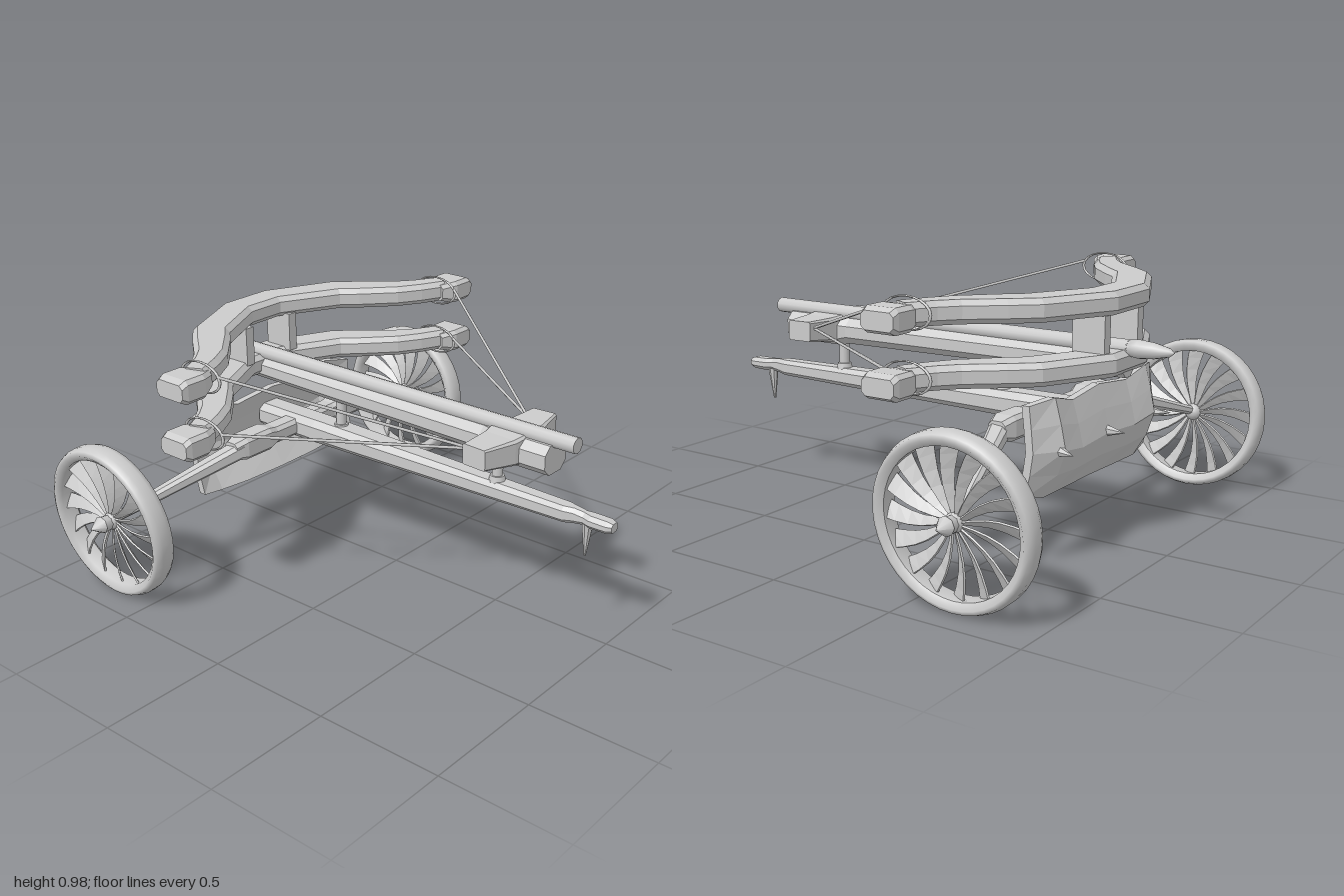
import * as THREE from 'three';

const mat = new THREE.MeshStandardMaterial({ color: 0xcccccc });
const flat = new THREE.MeshStandardMaterial({ color: 0xcccccc, flatShading: true });
const V = (x, y, z) => new THREE.Vector3(x, y, z);
const UP = V(0, 1, 0);

function add(parent, name, geo, material = flat) {
  const m = new THREE.Mesh(geo, material);
  m.name = name;
  parent.add(m);
  return m;
}

// Chamfered bar through stations [x, y, z, width, height, chamfer]
function bar(stations) {
  const pts = stations.map(s => V(s[0], s[1], s[2]));
  const rings = stations.map(([, , , w, h, c = 0.015], i) => {
    const t = pts[Math.min(i + 1, pts.length - 1)].clone().sub(pts[Math.max(i - 1, 0)]);
    const side = UP.clone().cross(t).normalize();
    const a = w / 2, b = h / 2;
    return [[a, -b + c], [a, b - c], [a - c, b], [-a + c, b], [-a, b - c], [-a, -b + c], [-a + c, -b], [a - c, -b]]
      .map(([s, u]) => pts[i].clone().addScaledVector(side, s).addScaledVector(UP, u));
  });
  const out = [];
  const tri = (a, b, c) => out.push(...a.toArray(), ...b.toArray(), ...c.toArray());
  for (let i = 0; i < rings.length - 1; i++) {
    for (let j = 0; j < 8; j++) {
      const k = (j + 1) % 8, p = rings[i], q = rings[i + 1];
      tri(p[j], p[k], q[k]);
      tri(p[j], q[k], q[j]);
    }
  }
  const first = rings[0], last = rings[rings.length - 1];
  for (let j = 1; j < 7; j++) {
    tri(first[0], first[j + 1], first[j]);
    tri(last[0], last[j], last[j + 1]);
  }
  const g = new THREE.BufferGeometry();
  g.setAttribute('position', new THREE.Float32BufferAttribute(out, 3));
  g.computeVertexNormals();
  return g;
}

// Round rod, or spike, between two points
function rod(parent, name, a, b, r0, r1 = r0, sides = 8, material = mat) {
  const d = b.clone().sub(a);
  const m = add(parent, name, new THREE.CylinderGeometry(r1, r0, d.length(), sides), material);
  m.position.copy(a).addScaledVector(d, 0.5);
  m.quaternion.setFromUnitVectors(UP, d.normalize());
  return m;
}

// Tapered, twisted and swept spoke blade, pointing up
function blade() {
  const g = new THREE.BoxGeometry(0.007, 0.255, 1, 1, 5, 1);
  const p = g.attributes.position;
  for (let i = 0; i < p.count; i++) {
    const t = p.getY(i) / 0.255 + 0.5;
    const v = V(p.getX(i), 0, p.getZ(i) * (0.018 + 0.05 * t)).applyAxisAngle(UP, 0.75 - 0.25 * t);
    p.setXYZ(i, v.x, 0.025 + 0.255 * t, v.z + 0.02 * Math.sin(Math.PI * t));
  }
  g.computeVertexNormals();
  return g;
}

function makeWheel(s) {
  const w = new THREE.Group();
  w.name = 'wheel';
  const profile = [[0.262, -0.03], [0.285, -0.048], [0.301, -0.04], [0.31, -0.018], [0.31, 0.018],
    [0.301, 0.04], [0.285, 0.048], [0.262, 0.03], [0.262, -0.03]].map(([r, y]) => new THREE.Vector2(r, y));
  add(w, 'rim', new THREE.LatheGeometry(profile, 40), mat).rotation.z = Math.PI / 2;
  const g = blade();
  for (let i = 0; i < 16; i++) add(w, 'spoke', g).rotation.x = i * Math.PI / 8;
  add(w, 'hub', new THREE.SphereGeometry(0.035, 16, 10), mat);
  w.position.set(s * 0.888, 0.311, -0.68);
  w.rotation.z = -s * 0.075;
  return w;
}

// Curved bow with a block at each tip
function makeBow(y) {
  const bow = new THREE.Group();
  bow.name = 'bow';
  const half = [[0.1, -0.765, 0.145], [0.36, -0.64, 0.15], [0.43, -0.565, 0.145],
    [0.54, -0.45, 0.125], [0.62, -0.395, 0.11], [0.72, -0.345, 0.1]];
  const path = [...half.slice().reverse().map(([x, z, w]) => [-x, y, z, w, 0.085, 0.02]),
    ...half.map(([x, z, w]) => [x, y, z, w, 0.085, 0.02])];
  add(bow, 'limbs', bar(path));
  for (const s of [-1, 1]) {
    add(bow, 'tip', bar([[s * 0.68, y - 0.005, -0.345, 0.09, 0.07], [s * 0.74, y - 0.007, -0.34, 0.145, 0.092],
      [s * 0.82, y - 0.007, -0.34, 0.145, 0.092], [s * 0.845, y - 0.007, -0.34, 0.135, 0.065]]));
    // Cord wound round the limb
    const loop = add(bow, 'cordLoop', new THREE.TorusGeometry(0.1, 0.006, 6, 20), mat);
    loop.rotation.y = Math.PI / 2;
    loop.scale.set(1, 0.58, 1);
    loop.position.set(s * 0.69, y, -0.345);
  }
  return bow;
}

// Faceted bent plate with a ridge along its middle
function shieldGeometry() {
  const g = new THREE.BoxGeometry(6, 4, 0.03, 6, 4, 1);
  const p = g.attributes.position;
  const xs = [0, 0.2, 0.34, 0.45], top = [0.6, 0.58, 0.615, 0.6], low = [0.245, 0.245, 0.25, 0.27];
  const back = [-0.735, -0.74, -0.75, -0.685], rowZ = [0.085, 0.03, 0, 0.02, 0.045];
  for (let i = 0; i < p.count; i++) {
    const c = Math.round(p.getX(i)), k = Math.abs(c), r = Math.round(p.getY(i)) + 2;
    p.setXYZ(i, Math.sign(c) * xs[k], THREE.MathUtils.lerp(low[k], top[k], r / 4),
      back[k] + rowZ[r] * (k === 3 ? 0.4 : 1) + p.getZ(i));
  }
  g.computeVertexNormals();
  return g;
}

export function createModel() {
  const model = new THREE.Group();
  model.name = 'wheeledBallista';

  // Carriage: trail beam, ground spike, cross beam, axles and wheels
  add(model, 'trailBeam', bar([[0, 0.478, 1, 0.045, 0.035, 0.01], [0, 0.478, 0.98, 0.065, 0.048], [0, 0.478, 0.91, 0.065, 0.05],
    [0, 0.48, 0.88, 0.05, 0.05], [0, 0.48, 0.84, 0.055, 0.06], [0, 0.478, 0.8, 0.075, 0.065],
    [0, 0.48, -0.4, 0.125, 0.1, 0.025], [0, 0.48, -0.7, 0.125, 0.1, 0.025]]));
  rod(model, 'groundSpike', V(0, 0.465, 0.89), V(0, 0.33, 0.885), 0.022, 0.005, 8, flat);
  add(model, 'crossBeam', bar([[-0.4, 0.48, -0.52, 0.07, 0.07], [-0.35, 0.483, -0.52, 0.1, 0.092], [-0.22, 0.483, -0.52, 0.1, 0.092],
    [-0.17, 0.48, -0.525, 0.085, 0.07], [0.17, 0.48, -0.525, 0.085, 0.07], [0.22, 0.483, -0.52, 0.1, 0.092],
    [0.35, 0.483, -0.52, 0.1, 0.092], [0.4, 0.48, -0.52, 0.07, 0.07]]));
  for (const s of [-1, 1]) {
    add(model, 'axle', bar([[s * 0.36, 0.48, -0.51, 0.075, 0.07], [s * 0.89, 0.315, -0.68, 0.035, 0.035, 0.01]]));
    rod(model, 'axleTip', V(s * 0.87, 0.311, -0.68), V(s * 0.94, 0.311, -0.68), 0.025, 0.033);
    rod(model, 'axlePoint', V(s * 0.94, 0.311, -0.68), V(s * 0.992, 0.311, -0.68), 0.035, 0.001);
    model.add(makeWheel(s));
  }

  // Rear shield with three spikes
  add(model, 'shield', shieldGeometry());
  for (const s of [-1, 0, 1]) {
    rod(model, 'shieldSpike', V(s * 0.345, 0.43, -0.74), V(s * 0.375, 0.43, -0.815), 0.022, 0.001, 6, flat);
  }

  // Posts carrying the stock
  for (const z of [0.49, -0.29]) {
    rod(model, 'post', V(0, 0.49, z), V(0, 0.66, z), 0.021, 0.021, 10);
    rod(model, 'postFoot', V(0, 0.5, z), V(0, 0.535, z), 0.035, 0.028, 10);
  }

  // Stock, bolt rail and pointed rear end
  add(model, 'stock', bar([[0, 0.674, 0.74, 0.135, 0.115, 0.03], [0, 0.674, 0.47, 0.135, 0.115, 0.03],
    [0, 0.676, 0.44, 0.11, 0.105, 0.03], [0, 0.683, -0.82, 0.085, 0.09, 0.025]]));
  rod(model, 'rail', V(0, 0.746, 0.83), V(0, 0.746, -0.86), 0.031, 0.031, 10);
  const tip = [[0, -0.18], [0.03, -0.18], [0.035, -0.14], [0.03, -0.08], [0.016, -0.02], [0, 0]].map(([r, y]) => new THREE.Vector2(r, y));
  const point = add(model, 'rearPoint', new THREE.LatheGeometry(tip, 12), mat);
  point.rotation.x = -Math.PI / 2;
  point.position.set(0, 0.746, -1);

  // Side blocks of the stock
  for (const s of [-1, 1]) {
    add(model, 'sideBlock', bar([[s * 0.03, 0.685, 0.55, 0.165, 0.11, 0.01], [s * 0.08, 0.685, 0.55, 0.15, 0.1, 0.01],
      [s * 0.222, 0.695, 0.54, 0.105, 0.08, 0.006]]));
  }

  // Pair of bows, joined by pillars and strung to the side blocks
  for (const y of [0.922, 0.7]) {
    model.add(makeBow(y));
    for (const s of [-1, 1]) {
      rod(model, 'string', V(s * 0.69, y + 0.02, -0.25), V(s * 0.18, 0.705, 0.5), 0.006, 0.006, 6);
    }
  }
  for (const s of [-1, 1]) {
    add(model, 'pillar', new THREE.BoxGeometry(0.042, 0.16, 0.13)).position.set(s * 0.125, 0.811, -0.735);
  }
  return model;
}
